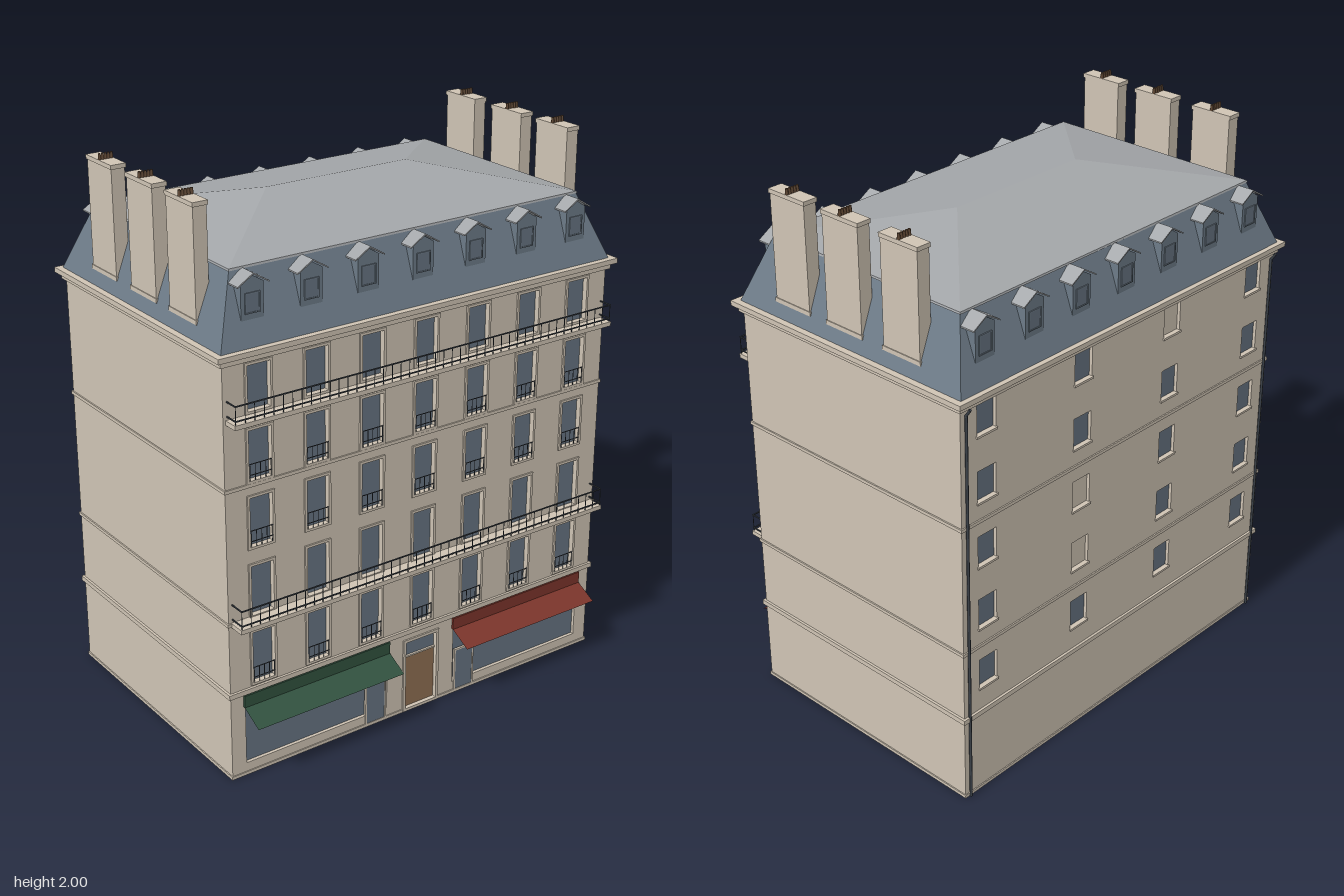
import * as THREE from 'three';

const mat = (name, color, double = false) => {
  const m = new THREE.MeshStandardMaterial({ color, side: double ? THREE.DoubleSide : THREE.FrontSide });
  m.name = name;
  return m;
};

export function createModel() {
  const stone = mat('stone', 0xcfc4b4, true);
  const glass = mat('glass', 0x677482, true);
  const slate = mat('slate', 0x6d7b88, true);
  const zinc = mat('zinc', 0xa3a6a9, true);
  const iron = mat('iron', 0x3b4148);
  const wood = mat('wood', 0x8f7052, true);
  const green = mat('greenCanvas', 0x31523f, true);
  const red = mat('redCanvas', 0x7c352b, true);
  const clay = mat('clay', 0x5e4632);

  const model = new THREE.Group();
  model.name = 'apartmentBuilding';
  const X = 0.795, ZF = 0.47, ZB = -0.535, T = 0.025;

  const add = (name, geo, m, x = 0, y = 0, z = 0, parent = model) => {
    const mesh = new THREE.Mesh(geo, m);
    mesh.name = name;
    mesh.position.set(x, y, z);
    parent.add(mesh);
    return mesh;
  };
  // box given by its limits
  const box = (name, m, x0, x1, y0, y1, z0, z1, parent) =>
    add(name, new THREE.BoxGeometry(x1 - x0, y1 - y0, z1 - z0), m, (x0 + x1) / 2, (y0 + y1) / 2, (z0 + z1) / 2, parent);
  const rect = (C, x0, x1, y0, y1) =>
    new C([[x0, y0], [x1, y0], [x1, y1], [x0, y1]].map(p => new THREE.Vector2(...p)));
  // rectangular plate with rectangular holes
  const plate = (outer, holes, depth) => {
    const s = rect(THREE.Shape, ...outer);
    holes.forEach(h => s.holes.push(rect(THREE.Path, ...h)));
    return new THREE.ExtrudeGeometry(s, { depth, bevelEnabled: false });
  };
  const frame = (name, [x0, x1, y0, y1], w, z, depth, m = stone) =>
    add(name, plate([x0 - w, x1 + w, y0 - w, y1 + w], [[x0, x1, y0, y1]], depth), m, 0, 0, z);
  // moulding that runs round the whole building
  const ring = (name, m, out, y0, y1, inset = 0.04) => {
    const g = plate([-X - out, X + out, ZB - out, ZF + out],
      [[-X + inset, X - inset, ZB + inset, ZF - inset]], y1 - y0);
    g.rotateX(Math.PI / 2);
    add(name, g, m, 0, y1, 0);
  };

  // Openings
  const cols = [-3, -2, -1, 0, 1, 2, 3].map(i => i * 0.221);
  const rows = [[0.35, 0.54], [0.605, 0.785], [0.855, 1.03], [1.09, 1.265], [1.33, 1.485]];
  const frontWindows = rows.flatMap(([y0, y1], r) => cols.map(x => ({ r, o: [x - 0.043, x + 0.043, y0, y1] })));
  const shops = [[-0.738, -0.148, 0.045, 0.3], [0.148, 0.738, 0.045, 0.3]];
  const doorway = [-0.068, 0.068, 0.003, 0.282];
  const backWindows = [];
  [0.68, 0.227, -0.227, -0.68].forEach((x, c) => {
    for (let r = 0; r < 5; r++) {
      const y = 0.48 + r * 0.24;
      const blind = (c === 1 && (r === 1 || r === 2)) || (c === 2 && r === 4);
      backWindows.push({ blind, o: [x - 0.042, x + 0.042, y - 0.056, y + 0.056] });
    }
  });

  // Hollow shell of four walls
  add('frontWall', plate([-X, X, 0, 1.52], [...frontWindows.map(w => w.o), ...shops, doorway], T), stone, 0, 0, ZF - T);
  add('backWall', plate([-X, X, 0, 1.52], backWindows.map(w => w.o), T), stone, 0, 0, ZB);
  for (const s of [-1, 1]) {
    const xs = [s * X, s * (X - T)].sort((a, b) => a - b);
    box('sideWall', stone, xs[0], xs[1], 0, 1.52, ZB + T, ZF - T);
  }

  // String courses and main cornice
  ring('plinth', stone, 0.004, 0, 0.012);
  ring('groundFloorCornice', stone, 0.009, 0.317, 0.335);
  ring('stringCourse', stone, 0.005, 0.588, 0.6);
  ring('stringCourse', stone, 0.005, 1.068, 1.08);
  ring('lowerCornice', stone, 0.012, 1.5, 1.522);
  ring('upperCornice', stone, 0.029, 1.522, 1.54);

  // Front windows with surrounds and small guards
  for (const { r, o } of frontWindows) {
    const [x0, x1, y0, y1] = o;
    box('windowPane', glass, x0, x1, y0, y1, ZF - 0.018, ZF - 0.014);
    frame('windowSurround', o, 0.009, ZF, 0.006);
    if (r === 1 || r === 4) continue;
    for (const y of [0.02, 0.058]) box('windowGuardRail', iron, x0, x1, y0 + y, y0 + y + 0.002, ZF + 0.004, ZF + 0.007);
    for (let i = 0; i < 5; i++) {
      const x = x0 + 0.003 + i * 0.02;
      box('windowGuardBar', iron, x - 0.0008, x + 0.0008, y0, y0 + 0.058, ZF + 0.004, ZF + 0.006);
    }
  }

  // Back windows, some of them blind
  for (const { blind, o } of backWindows) {
    box(blind ? 'blindPanel' : 'backPane', blind ? stone : glass, ...o, ZB + 0.012, ZB + 0.016);
    box('backSill', stone, o[0] - 0.004, o[1] + 0.004, o[2] - 0.008, o[2], ZB - 0.006, ZB + 0.01);
  }

  // Ground floor shops, awnings and entrance
  shops.forEach((o, i) => {
    const [x0, x1] = o, canvas = i ? red : green, s = i ? 1 : -1;
    box('shopWindow', glass, ...o, ZF - 0.016, ZF - 0.012);
    const dx = [s * 0.16, s * 0.237].sort((a, b) => a - b);
    const door = [dx[0], dx[1], 0.008, 0.172];
    box('shopDoor', glass, ...door, ZF - 0.002, ZF + 0.002);
    frame('shopDoorFrame', door, 0.006, ZF - 0.005, 0.009);
    box('awningBox', canvas, x0 - 0.007, x1 + 0.007, 0.268, 0.312, ZF - 0.005, ZF + 0.008);
    const flap = new THREE.PlaneGeometry(x1 - x0 + 0.014, Math.hypot(0.083, 0.043));
    flap.rotateX(-Math.atan2(0.083, 0.043));
    add('awningFlap', flap, canvas, (x0 + x1) / 2, 0.2465, ZF + 0.0485);
  });
  box('entranceDoor', wood, -0.068, 0.068, 0.003, 0.216, ZF - 0.016, ZF - 0.01);
  box('entranceTransom', stone, -0.068, 0.068, 0.216, 0.222, ZF - 0.018, ZF - 0.004);
  box('entranceFanlight', glass, -0.068, 0.068, 0.222, 0.282, ZF - 0.016, ZF - 0.012);
  frame('entranceSurround', [-0.068, 0.068, 0.012, 0.282], 0.011, ZF, 0.006);

  // Long balconies with iron railings
  for (const [y, z, h] of [[0.585, 0.532, 0.08], [1.303, 0.524, 0.076]]) {
    box('balconySlab', stone, -0.785, 0.785, y, y + 0.016, ZF, z);
    const zr = z - 0.004;
    for (const yr of [y + 0.026, y + h]) {
      box('balconyRail', iron, -0.782, 0.782, yr, yr + 0.004, zr - 0.002, zr + 0.002);
      for (const s of [-1, 1]) box('balconySideRail', iron, s * 0.78 - 0.002, s * 0.78 + 0.002, yr, yr + 0.004, ZF, zr);
    }
    for (let i = 0; i <= 44; i++) {
      const x = -0.78 + i * 1.56 / 44;
      box('baluster', iron, x - 0.001, x + 0.001, y + 0.016, y + h, zr - 0.001, zr + 0.001);
    }
  }

  // Roof slopes between a lower and an upper rectangle [halfX, zBack, zFront, y]
  const slopes = (a, b) => {
    const loop = ([x, zb, zf, y]) => [[-x, y, zf], [x, y, zf], [x, y, zb], [-x, y, zb]];
    const p = loop(a), q = loop(b), v = [];
    for (let i = 0; i < 4; i++) {
      const j = (i + 1) % 4;
      v.push(...p[i], ...p[j], ...q[j]);
      if (q[i].some((n, k) => n !== q[j][k])) v.push(...p[i], ...q[j], ...q[i]);
    }
    const g = new THREE.BufferGeometry();
    g.setAttribute('position', new THREE.Float32BufferAttribute(v, 3));
    g.computeVertexNormals();
    return g;
  };
  add('mansard', slopes([0.8, -0.545, 0.476, 1.54], [0.71, -0.458, 0.39, 1.772]), slate);
  add('roofEdge', slopes([0.714, -0.462, 0.394, 1.77], [0.712, -0.46, 0.392, 1.777]), zinc);
  add('roofTop', slopes([0.712, -0.46, 0.392, 1.777], [0.29, -0.035, -0.035, 1.862]), zinc);

  // Dormers on front and back
  const gable = new THREE.Shape([[-0.042, 1.62], [0.042, 1.62], [0.042, 1.738], [0, 1.764], [-0.042, 1.738]]
    .map(p => new THREE.Vector2(...p)));
  const dormerBody = new THREE.ExtrudeGeometry(gable, { depth: 0.06, bevelEnabled: false });
  const cover = new THREE.Shape([[-0.058, 1.733], [0, 1.768], [0.058, 1.733], [0.058, 1.738], [0, 1.773], [-0.058, 1.738]]
    .map(p => new THREE.Vector2(...p)));
  const dormerRoof = new THREE.ExtrudeGeometry(cover, { depth: 0.068, bevelEnabled: false });
  for (const back of [false, true]) {
    for (const x of cols) {
      const d = new THREE.Group();
      d.name = 'dormer';
      add('dormerBody', dormerBody, slate, 0, 0, -0.06, d);
      add('dormerRoof', dormerRoof, zinc, 0, 0, -0.058, d);
      box('dormerPane', glass, -0.024, 0.024, 1.645, 1.705, 0, 0.002, d);
      add('dormerFrame', plate([-0.028, 0.028, 1.641, 1.709], [[-0.024, 0.024, 1.645, 1.705]], 0.004), slate, 0, 0, 0, d);
      d.position.set(x, 0, back ? -0.515 : 0.446);
      if (back) d.rotation.y = Math.PI;
      model.add(d);
    }
  }

  // Chimney stacks with rows of clay pots
  for (const s of [-1, 1]) {
    for (const z of [0.228, -0.016, -0.275]) {
      const c = new THREE.Group();
      c.name = 'chimney';
      box('chimneyBase', stone, -0.028, 0.028, 1.585, 1.6, -0.084, 0.084, c);
      box('chimneyShaft', stone, -0.025, 0.025, 1.6, 1.965, -0.08, 0.08, c);
      box('chimneyCap', stone, -0.028, 0.028, 1.965, 1.98, -0.084, 0.084, c);
      for (let i = -2; i <= 2; i++)
        add('chimneyPot', new THREE.CylinderGeometry(0.0045, 0.006, 0.02, 8), clay, i * 0.011, 1.99, 0, c);
      c.position.set(s * 0.757, 0, z);
      model.add(c);
    }
    // Rainwater pipes at the back corners
    add('drainPipe', new THREE.CylinderGeometry(0.005, 0.005, 1.48, 8), iron, s * 0.775, 0.74, ZB - 0.007);
    const bend = add('drainPipeBend', new THREE.CylinderGeometry(0.005, 0.005, 0.035, 8), iron, s * 0.775, 1.492, ZB - 0.015);
    bend.rotation.x = -0.6;
  }
  return model;
}
